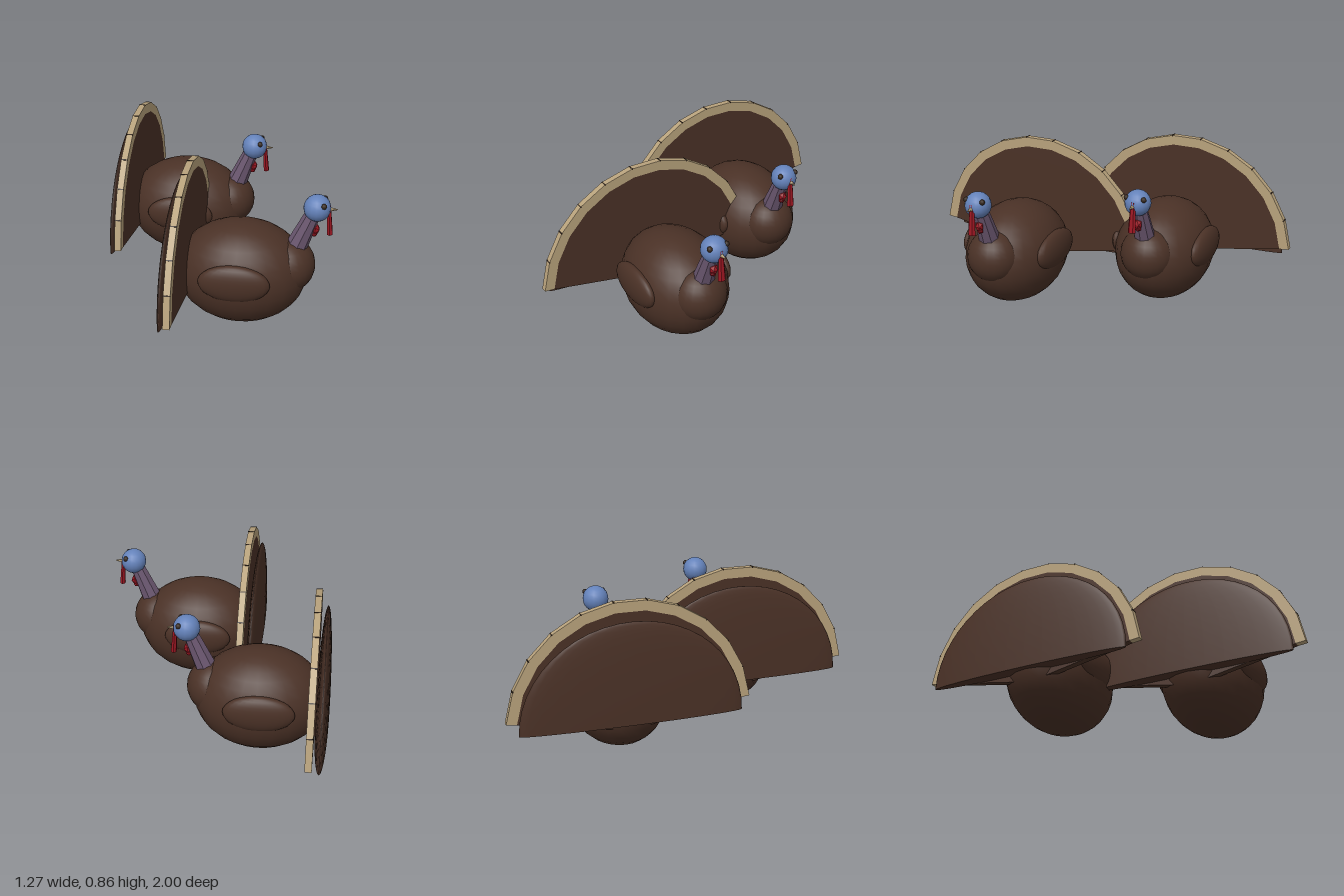
import * as THREE from 'three';

const mat = (name, color, extra = {}) => {
  const m = new THREE.MeshStandardMaterial({ color, ...extra });
  m.name = name;
  return m;
};

export function createModel() {
  const brown = mat('feather brown', 0x4a3126);
  const tan = mat('feather tip tan', 0xb8a27c);
  const blue = mat('head blue', 0x6482ba);
  const mauve = mat('neck mauve', 0x6b5770, { flatShading: true });
  const red = mat('wattle red', 0x9c1622, { flatShading: true });
  const dark = mat('eye dark', 0x35281e);

  function turkey(name) {
    const bird = new THREE.Group();
    bird.name = name;
    const add = (part, geo, material, pos = [0, 0, 0], scale = [1, 1, 1]) => {
      const m = new THREE.Mesh(geo, material);
      m.name = part;
      m.position.set(...pos);
      m.scale.set(...scale);
      bird.add(m);
      return m;
    };
    // tapered cylinder from one point to another
    const limb = (part, a, b, r0, r1, sides, material) => {
      const p = new THREE.Vector3(...a), q = new THREE.Vector3(...b);
      const dir = q.clone().sub(p);
      const m = add(part, new THREE.CylinderGeometry(r1, r0, dir.length(), sides), material,
        p.add(q).multiplyScalar(0.5).toArray());
      m.quaternion.setFromUnitVectors(new THREE.Vector3(0, 1, 0), dir.normalize());
      return m;
    };

    // body, breast and wings
    const ball = new THREE.SphereGeometry(1, 24, 16);
    add('body', ball, brown, [0.145, 0.284, 0], [0.35, 0.283, 0.266]);
    add('breast', ball, brown, [0.39, 0.335, 0], [0.145, 0.148, 0.15]);
    for (const s of [1, -1]) {
      add(s > 0 ? 'leftWing' : 'rightWing', ball, brown, [0.135, 0.327, s * 0.234], [0.187, 0.104, 0.05]);
    }

    // tail fan: a brown plate with eleven pale tips and dark joints
    const count = 11, step = 15.3 * Math.PI / 180, cy = 0.22;
    const thick = 0.035, fanX = -0.155;
    const angle = (i) => Math.PI / 2 + (i - count / 2) * step;
    const rim = (i, r) => new THREE.Vector2(Math.cos(angle(i)) * r, cy + Math.sin(angle(i)) * r);
    const plate = (part, pts, material) => {
      const geo = new THREE.ExtrudeGeometry(new THREE.Shape(pts), { depth: thick, bevelEnabled: false });
      geo.rotateY(Math.PI / 2);
      add(part, geo, material, [fanX, 0, 0]);
    };
    const inner = [new THREE.Vector2(0, 0.173)];
    for (let i = 0; i <= count; i++) inner.push(rim(i, 0.587));
    plate('tailFan', inner, brown);
    for (let i = 0; i < count; i++) {
      plate('tailTip', [rim(i, 0.587), rim(i, 0.641), rim(i + 1, 0.641), rim(i + 1, 0.587)], tan);
    }
    for (let i = 1; i < count; i++) {
      const p = rim(i, 0.639);
      const joint = add('tailJoint', new THREE.BoxGeometry(thick + 0.001, 0.006, 0.007), dark,
        [fanX + thick / 2, p.y, -p.x]);
      joint.rotation.x = angle(i);
    }

    // thin domed feather cover behind the fan
    const half = new THREE.SphereGeometry(1, 32, 12, 0, Math.PI * 2, 0, Math.PI / 2);
    add('tailCover', half, brown, [-0.189, 0.23, 0], [0.037, 0.533, 0.583]);
    const cap = new THREE.CircleGeometry(1, 32);
    cap.rotateX(Math.PI / 2);
    add('tailCoverBase', cap, brown, [-0.189, 0.23, 0], [0.037, 1, 0.583]);

    // neck and head
    limb('neck', [0.43, 0.44, 0], [0.515, 0.645, 0], 0.058, 0.04, 8, mauve);
    add('head', new THREE.SphereGeometry(0.071, 16, 12), blue, [0.533, 0.675, 0]);
    for (const s of [1, -1]) {
      add(s > 0 ? 'leftEye' : 'rightEye', new THREE.SphereGeometry(0.015, 10, 8), dark,
        [0.569, 0.708, s * 0.049]);
    }
    limb('beak', [0.59, 0.672, 0], [0.637, 0.672, 0], 0.013, 0.002, 6, tan);

    // hanging snood and throat wattle
    limb('snood', [0.603, 0.53, 0], [0.592, 0.695, 0], 0.016, 0.01, 6, red).scale.z = 1.4;
    add('wattle', new THREE.IcosahedronGeometry(0.03, 0), red, [0.528, 0.553, 0], [0.8, 1, 0.8]);
    add('wattleLobe', new THREE.IcosahedronGeometry(0.018, 0), red, [0.522, 0.526, 0]);
    return bird;
  }

  const group = new THREE.Group();
  group.name = 'turkeys';
  const near = turkey('frontTurkey');
  near.position.set(0, 0, 0.363);
  const far = turkey('rearTurkey');
  far.position.set(-0.411, 0, -0.363);
  group.add(near, far);
  return group;
}
